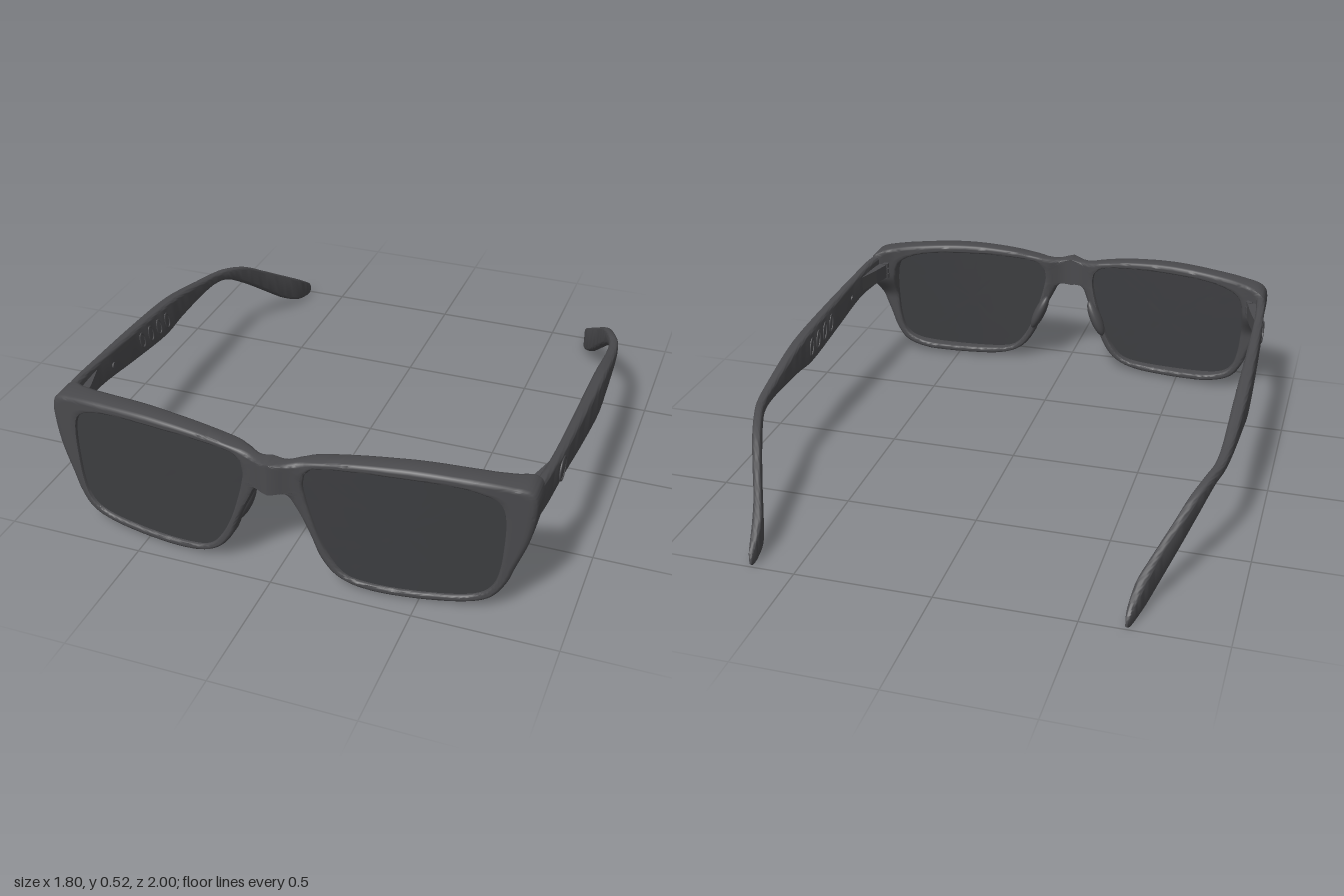
import * as THREE from 'three';
import { toCreasedNormals } from 'three/addons/utils/BufferGeometryUtils.js';

const frameMat = new THREE.MeshStandardMaterial({ color: 0x4a4a4d });
const lensMat = new THREE.MeshStandardMaterial({ color: 0x3c3d40 });
const V = (x, y, z) => new THREE.Vector3(x, y, z);
const { lerp, smoothstep } = THREE.MathUtils;

// Skins rows of closed cross-sections; faces always end up pointing outwards
function loft(rows, { wrap = false, caps = false, crease = 0.7 } = {}) {
  const n = rows[0].length, tris = [];
  const add = (a, b, c) => {
    if (Math.abs(a.x) + Math.abs(b.x) + Math.abs(c.x) < 1e-6) return; // open seam on the centre plane
    if (b.clone().sub(a).cross(c.clone().sub(a)).length() > 1e-10) tris.push([a, b, c]);
  };
  for (let i = 0; i < rows.length - (wrap ? 0 : 1); i++) {
    const p = rows[i], q = rows[(i + 1) % rows.length];
    for (let j = 0; j < n; j++) {
      const k = (j + 1) % n;
      add(p[j], q[j], q[k]);
      add(p[j], q[k], p[k]);
    }
  }
  if (caps) {
    const last = rows[rows.length - 1];
    for (let j = 1; j < n - 1; j++) {
      add(rows[0][0], rows[0][j], rows[0][j + 1]);
      add(last[0], last[j + 1], last[j]);
    }
  }
  const volume = tris.reduce((v, [a, b, c]) => v + a.dot(b.clone().cross(c)), 0);
  const points = tris.flatMap(([a, b, c]) => (volume < 0 ? [a, c, b] : [a, b, c]));
  return toCreasedNormals(new THREE.BufferGeometry().setFromPoints(points), crease);
}

// Piecewise-linear lookup
function lookup(table, x) {
  let i = 1;
  while (i < table.length - 1 && table[i][0] < x) i++;
  const [a, b] = [table[i - 1], table[i]];
  return lerp(a[1], b[1], Math.min(1, Math.max(0, (x - a[0]) / (b[0] - a[0]))));
}

// Wrap of the front, seen from above: front and back depth against x
const FRONT = [[0, .995], [.02, .992], [.05, .975], [.08, .961], [.11, .955], [.2, .952], [.3, .947],
  [.4, .94], [.5, .929], [.6, .915], [.7, .899], [.8, .879], [.87, .864]];
const BACK = [[0, .93], [.02, .929], [.05, .922], [.09, .898], [.13, .886], [.25, .877], [.4, .86],
  [.6, .828], [.72, .805], [.78, .785], [.83, .755], [.87, .745]];
const frontZ = x => lookup(FRONT, x);
const backZ = (x, y) => {
  const b = lookup(BACK, x);
  return lerp(Math.max(b, .825), b, smoothstep(y, .26, .38));
};

// Matching outlines of one half: rim outside and lens opening
const OUTER = [[-.04, .475], [.06, .478], [.15, .495], [.28, .515], [.46, .526], [.64, .518], [.78, .503],
  [.845, .488], [.866, .45], [.862, .37], [.845, .285], [.81, .19], [.782, .115], [.735, .055], [.64, .026],
  [.47, .014], [.32, .018], [.225, .05], [.165, .115], [.127, .21], [.08, .31], [.045, .365], [-.04, .372]];
const INNER = [[.108, .415], [.118, .445], [.16, .475], [.28, .487], [.46, .492], [.62, .485], [.70, .468],
  [.745, .445], [.765, .41], [.772, .35], [.77, .27], [.762, .18], [.742, .11], [.70, .07], [.62, .05],
  [.47, .04], [.33, .042], [.25, .06], [.20, .115], [.158, .2], [.125, .305], [.112, .36], [.107, .39]];
const STATIONS = 184;
const sample = pts => {
  const curve = new THREE.CatmullRomCurve3(pts.map(([x, y]) => V(x, y, 0)), true, 'catmullrom', .5);
  return Array.from({ length: STATIONS }, (_, i) => curve.getPoint(i / STATIONS));
};
const outer = sample(OUTER).map(p => V(Math.max(0, p.x), p.y, 0));
const inner = sample(INNER);

// Rim with rounded edges, bent along the wrap
function rim(s) {
  const rows = outer.map((o, i) => {
    const a = inner[i], w = o.distanceTo(a);
    const ri = Math.min(.009, w * .3), soft = smoothstep(o.x, 0, .03);
    const ro = Math.min(.016, w * .4) * soft;
    // [distance across the rim, inset from the face]
    const half = [[0, ri], [ri * .3, ri * .3], [ri, 0]];
    for (const u of [.2, .4, .6, .8]) half.push([lerp(ri, w - ro, u), 0]);
    half.push([w - ro, 0], [w - ro * .3, ro * .3], [w, ro]);
    const place = face => ([d, inset]) => {
      const p = a.clone().lerp(o, d / w);
      const z = face > 0 ? frontZ(p.x) - inset : backZ(p.x, p.y) + inset;
      return V(s * p.x, p.y, z);
    };
    return [...half.map(place(1)), ...half.slice().reverse().map(place(-1))];
  });
  return loft(rows, { wrap: true, crease: .8 });
}

// Thin curved lens filling the opening
function lens(s) {
  const disc = (k, depth) => inner.map(p => {
    const x = lerp(.44, p.x, k), y = lerp(.27, p.y, k);
    return V(s * x, y, frontZ(x) - depth);
  });
  const steps = [0, .2, .4, .6, .8, .92, 1.01];
  return loft([...steps.map(k => disc(k, .014)), ...steps.slice().reverse().map(k => disc(k, .04))]);
}

// Temple arm stations: z, top, bottom, outer x, inner x
const ARM = [[.79, .472, .35, .862, .825], [.7, .47, .352, .872, .838], [.55, .457, .35, .882, .846],
  [.3, .44, .315, .892, .85], [.05, .42, .287, .899, .851], [-.1, .402, .298, .898, .851],
  [-.3, .362, .303, .89, .85], [-.42, .342, .298, .878, .842], [-.5, .33, .28, .855, .82],
  [-.6, .298, .217, .818, .783], [-.7, .238, .14, .775, .742], [-.8, .175, .062, .73, .698],
  [-.88, .125, .02, .702, .665], [-.95, .08, .006, .682, .654], [-.985, .055, .005, .671, .654],
  [-1, .035, .014, .664, .656]];

function arm(s) {
  const curve = cols => new THREE.CatmullRomCurve3(ARM.map(r => V(...cols.map(c => r[c]))), false, 'catmullrom', .5);
  const side = curve([0, 1, 2]), plan = curve([3, 4, 0]), rows = [];
  for (let i = 0; i <= 90; i++) {
    const { x: z, y: top, z: bot } = side.getPoint(i / 90), { x: xo, y: xi } = plan.getPoint(i / 90);
    const r = Math.min(.013, (xo - xi) * .4, (top - bot) * .4), row = [];
    // rounded rectangle, corner by corner
    [[xo - r, top - r], [xi + r, top - r], [xi + r, bot + r], [xo - r, bot + r]].forEach(([cx, cy], c) => {
      for (let k = 0; k <= 4; k++) {
        const t = (c + k / 4) * Math.PI / 2;
        row.push(V(s * (cx + r * Math.cos(t)), cy + r * Math.sin(t), Math.max(-1, z)));
      }
    });
    rows.push(row);
  }
  return loft(rows, { caps: true, crease: .8 });
}

export function createModel() {
  const model = new THREE.Group();
  const add = (name, geometry, material = frameMat) => {
    const mesh = new THREE.Mesh(geometry, material);
    mesh.name = name;
    model.add(mesh);
    return mesh;
  };
  for (const s of [1, -1]) {
    const tag = s > 0 ? 'left' : 'right';
    add(tag + 'FrameFront', rim(s));
    add(tag + 'Lens', lens(s), lensMat);
    add(tag + 'Temple', arm(s));

    // Nose pad growing from the back of the rim
    const pad = add(tag + 'NosePad', new THREE.SphereGeometry(1, 24, 16));
    pad.scale.set(.024, .085, .036);
    pad.position.set(s * .128, .235, .891);
    pad.rotation.z = s * .41;

    // Hinge wedge inside the temple, with its knuckles
    const wedge = new THREE.Shape([[.85, -.57], [.845, -.76], [.795, -.76], [.815, -.68]]
      .map(([x, y]) => new THREE.Vector2(s * x, y)));
    const hinge = add(tag + 'Hinge', new THREE.ExtrudeGeometry(wedge, { depth: .06, bevelEnabled: false }).rotateX(-Math.PI / 2));
    hinge.position.y = .38;
    for (let k = 0; k < 3; k++) {
      add(tag + 'HingeKnuckle', new THREE.CylinderGeometry(.014, .014, .02, 16)).position.set(s * .803, .386 + k * .024, .765);
    }

    // Round badge outline on the outside
    add(tag + 'BadgeRing', new THREE.TorusGeometry(.041, .004, 8, 40).rotateY(Math.PI / 2)).position.set(s * .881, .4, .57);

    // Small stud and slanted oval outlines on the inside
    add(tag + 'InnerStud', new THREE.CylinderGeometry(.012, .012, .008, 16).rotateZ(Math.PI / 2)).position.set(s * .847, .39, .47);
    for (let k = 0; k < 4; k++) {
      const oval = new THREE.TorusGeometry(.022, .003, 6, 28).scale(.75, 1.6, 1).rotateZ(.3).rotateY(Math.PI / 2);
      add(tag + 'InnerOval', oval).position.set(s * .85, .372 - k * .006, .24 - k * .068);
    }
  }
  return model;
}
